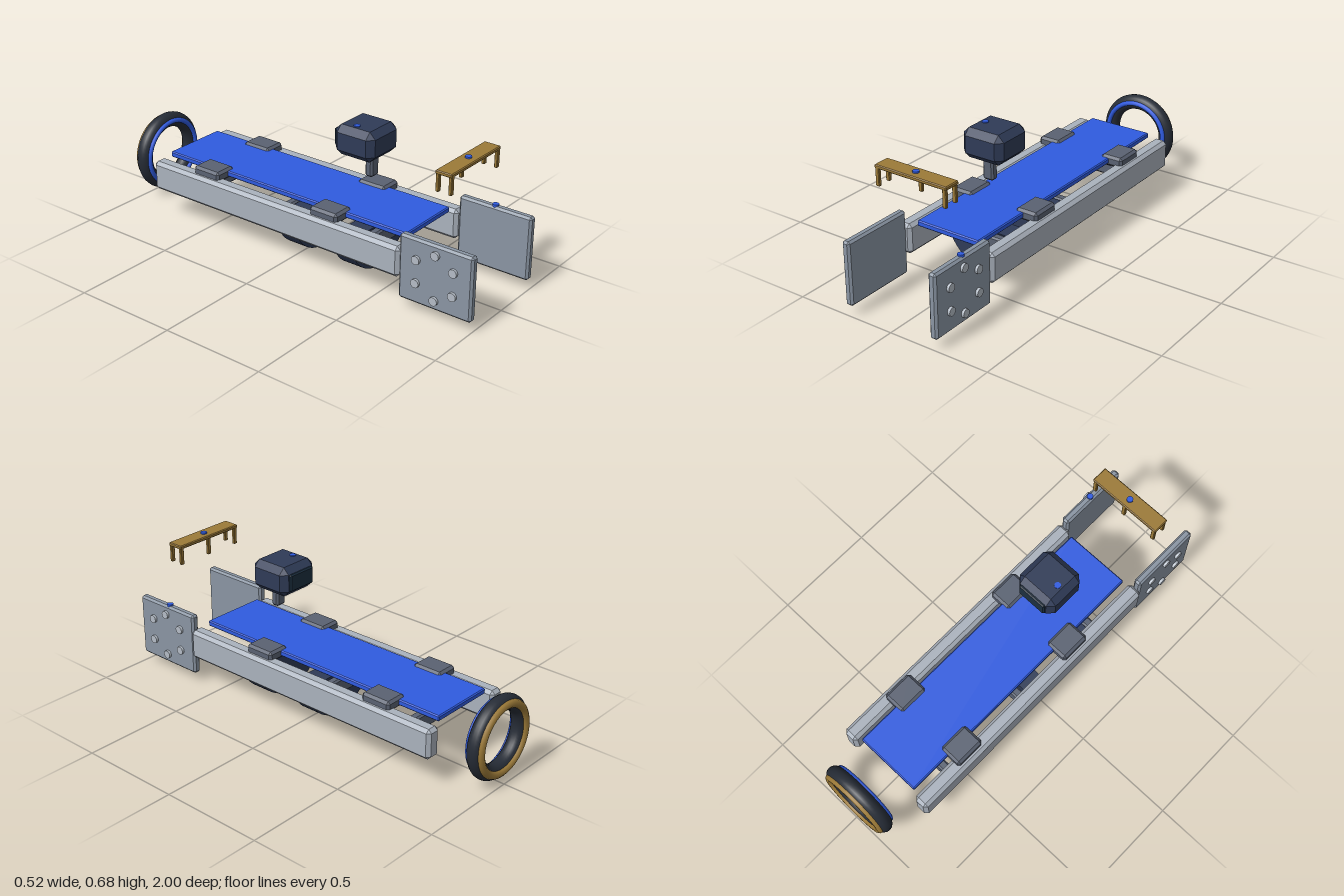
import * as THREE from 'three';
import { ConvexGeometry } from 'three/addons/geometries/ConvexGeometry.js';

const mat = (color) => new THREE.MeshStandardMaterial({ color });
const M = {
  rail: mat(0xaab2bd), plate: mat(0x8a95a3), bolt: mat(0xb4bcc6), steel: mat(0x5a6272),
  navy: mat(0x2f3b57), rubber: mat(0x262c36), blue: mat(0x2f5be0), wood: mat(0x9c7a38), screen: mat(0x1c2f40),
};

// Box with every edge chamfered by c, given as [min, max] per axis
function chamferBox(x, y, z, c) {
  const h = [x, y, z].map(([a, b]) => (b - a) / 2);
  const pts = [];
  for (const sx of [-1, 1]) for (const sy of [-1, 1]) for (const sz of [-1, 1]) {
    for (let k = 0; k < 3; k++) {
      const p = h.map((v, i) => (i === k ? v : v - c));
      pts.push(new THREE.Vector3(p[0] * sx, p[1] * sy, p[2] * sz));
    }
  }
  return new ConvexGeometry(pts).translate((x[0] + x[1]) / 2, (y[0] + y[1]) / 2, (z[0] + z[1]) / 2);
}

export function createModel() {
  const model = new THREE.Group();
  model.name = 'slidingBoardMachine';
  const add = (name, geometry, material, x = 0, y = 0, z = 0) => {
    const mesh = new THREE.Mesh(geometry, material);
    mesh.name = name;
    mesh.position.set(x, y, z);
    model.add(mesh);
    return mesh;
  };
  const box = (name, x, y, z, c, material) => add(name, chamferBox(x, y, z, c), material);
  const span = (s, a, b) => (s > 0 ? [a, b] : [-b, -a]);
  const button = (name, x, y, z) =>
    add(name, new THREE.CylinderGeometry(0.015, 0.015, 0.012, 16), M.blue, x, y, z);

  // Rails, end plates with bolts, and board clamps, mirrored
  const bolts = [[0.91, 0.26], [0.725, 0.26], [0.91, 0.15], [0.725, 0.15], [0.82, 0.31], [0.82, 0.097]];
  for (const s of [1, -1]) {
    box('rail', span(s, 0.187, 0.26), [0.143, 0.288], [-0.79, 0.64], 0.016, M.rail);
    box('endPlate', span(s, 0.208, 0.248), [0.05, 0.356], [0.635, 1], 0.01, M.plate);
    for (const [z, y] of bolts) {
      const bolt = add('bolt', new THREE.CylinderGeometry(0.02, 0.02, 0.03, 16), M.bolt, s * 0.245, y, z);
      bolt.rotation.z = Math.PI / 2;
    }
    for (const z of [0.215, -0.475]) {
      box('clamp', span(s, 0.12, 0.235), [0.272, 0.324], [z - 0.076, z + 0.076], 0.012, M.steel);
    }
  }

  // Sliding board and the pads under it
  box('board', [-0.165, 0.165], [0.285, 0.313], [-0.765, 0.615], 0.005, M.blue);
  for (const z of [0.215, -0.475]) {
    box('boardPad', [-0.165, 0.165], [0.258, 0.288], [z - 0.05, z + 0.05], 0.008, M.rubber);
  }

  // Cross bars between the rails
  for (const z of [0.38, -0.1, -0.58]) {
    box('crossBar', [-0.2, 0.2], [0.136, 0.212], [z - 0.022, z + 0.022], 0.008, M.steel);
  }

  // Half-round drums hanging below the rails
  const half = new THREE.Shape();
  half.absarc(0, 0, 0.208, Math.PI, Math.PI * 2, false);
  half.closePath();
  const drum = new THREE.ExtrudeGeometry(half, { depth: 0.105, bevelEnabled: false, curveSegments: 18 });
  for (const z of [0.25, -0.07]) add('halfDrum', drum, M.navy, 0, 0.21, z);

  // Hand wheel behind the machine
  const wheelY = 0.215;
  add('wheelTyre', new THREE.TorusGeometry(0.158, 0.037, 16, 56), M.rubber, 0, wheelY, -0.953);
  add('wheelFrontTrim', new THREE.TorusGeometry(0.16, 0.012, 10, 56), M.blue, 0, wheelY, -0.917);
  add('wheelBackTrim', new THREE.TorusGeometry(0.16, 0.02, 10, 56), M.wood, 0, wheelY, -0.98);

  // Console head with its stem and rear screen
  box('consoleHead', [-0.108, 0.108], [0.537, 0.679], [0.167, 0.38], 0.03, M.navy);
  box('consoleScreen', [-0.075, 0.075], [0.567, 0.65], [0.156, 0.18], 0.006, M.screen);
  box('consoleStem', [-0.028, 0.028], [0.437, 0.545], [0.288, 0.328], 0.009, M.steel);

  // Small bench with corner legs and one middle leg
  box('benchTop', [-0.188, 0.188], [0.642, 0.66], [0.76, 0.842], 0.004, M.wood);
  for (const [x, z] of [[-0.175, 0.77], [0.175, 0.77], [-0.175, 0.833], [0.175, 0.833], [0, 0.77]]) {
    box('benchLeg', [x - 0.01, x + 0.01], [0.562, 0.648], [z - 0.008, z + 0.008], 0.003, M.wood);
  }

  // Round buttons
  button('benchButton', 0, 0.661, 0.8);
  button('consoleButton', -0.055, 0.677, 0.265);
  button('plateButton', 0.228, 0.357, 0.81);
  button('barButton', 0, 0.213, 0.38);

  return model;
}
